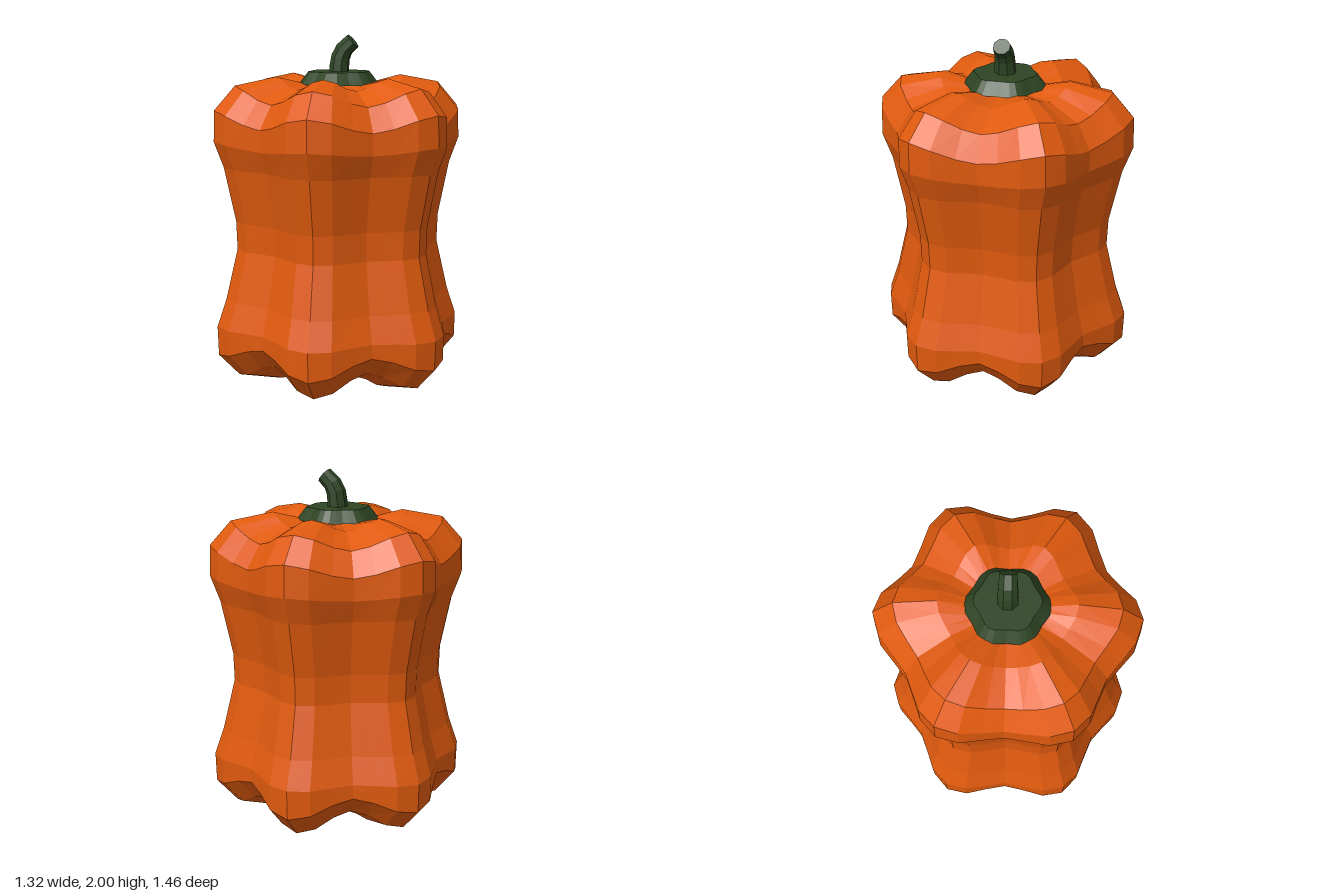
import * as THREE from 'three';

// Skin a stack of closed rings (bottom to top); end rings are closed with a fan
function loft(rings) {
  const n = rings[0].length, pos = [], idx = [];
  rings.forEach(r => r.forEach(p => pos.push(p.x, p.y, p.z)));
  for (let i = 0; i < rings.length - 1; i++) {
    for (let j = 0; j < n; j++) {
      const k = (j + 1) % n, a = i * n, b = a + n;
      idx.push(a + j, a + k, b + k, a + j, b + k, b + j);
    }
  }
  [0, rings.length - 1].forEach((row, end) => {
    const c = rings[row].reduce((s, p) => s.add(p), new THREE.Vector3()).divideScalar(n);
    const ci = pos.length / 3;
    pos.push(c.x, c.y, c.z);
    for (let j = 0; j < n; j++) {
      const a = row * n + j, b = row * n + (j + 1) % n;
      if (end) idx.push(ci, a, b);
      else idx.push(ci, b, a);
    }
  });
  const g = new THREE.BufferGeometry();
  g.setAttribute('position', new THREE.Float32BufferAttribute(pos, 3));
  g.setIndex(idx);
  const flat = g.toNonIndexed();
  flat.computeVertexNormals();
  return flat;
}

// Six-lobed ring: radius and height blend from lobe crest to groove
function lobedRing([rCrest, yCrest, rGroove, yGroove]) {
  return Array.from({ length: 36 }, (_, j) => {
    const a = j * Math.PI / 18, t = (1 - Math.cos(6 * a)) / 2;
    const r = THREE.MathUtils.lerp(rCrest, rGroove, t);
    return new THREE.Vector3(r * Math.sin(a), THREE.MathUtils.lerp(yCrest, yGroove, t), r * Math.cos(a));
  });
}

export function createModel() {
  const group = new THREE.Group();
  const orange = new THREE.MeshStandardMaterial({ color: 0xe05a0e });
  const green = new THREE.MeshStandardMaterial({ color: 0x2d4423 });
  orange.name = 'orange skin';
  green.name = 'green stem';
  orange.flatShading = green.flatShading = true;

  const add = (name, rings, material) => {
    const mesh = new THREE.Mesh(loft(rings), material);
    mesh.name = name;
    group.add(mesh);
  };

  // Body: crest radius, crest height, groove radius, groove height
  add('body', [
    [0.18, 0.06, 0.16, 0.11],
    [0.37, 0.005, 0.33, 0.085],
    [0.605, 0.05, 0.53, 0.17],
    [0.725, 0.18, 0.62, 0.28],
    [0.73, 0.35, 0.62, 0.36],
    [0.675, 0.51, 0.575, 0.51],
    [0.605, 0.8, 0.515, 0.8],
    [0.61, 0.96, 0.52, 0.96],
    [0.675, 1.27, 0.575, 1.27],
    [0.73, 1.42, 0.62, 1.39],
    [0.725, 1.595, 0.62, 1.51],
    [0.605, 1.73, 0.535, 1.64],
    [0.37, 1.775, 0.335, 1.71],
    [0.18, 1.73, 0.16, 1.71],
  ].map(lobedRing), orange);

  // Leafy cap under the stem
  add('cap', [
    [0.235, 1.73, 0.21, 1.73],
    [0.18, 1.8, 0.16, 1.8],
  ].map(lobedRing), green);

  // Stem: x, y, radius and lean of each eight-sided ring
  add('stem', [
    [0, 1.77, 0.055, 0],
    [0.003, 1.83, 0.053, 0.08],
    [0.01, 1.88, 0.051, 0.3],
    [0.032, 1.925, 0.048, 0.6],
    [0.082, 1.972, 0.044, 0.86],
  ].map(([x, y, r, lean]) => Array.from({ length: 8 }, (_, j) => {
    const a = (j + 0.5) * Math.PI / 4, u = r * 1.06 * Math.sin(a);
    return new THREE.Vector3(x + u * Math.cos(lean), y - u * Math.sin(lean), r * 1.12 * Math.cos(a));
  })), green);

  return group;
}
